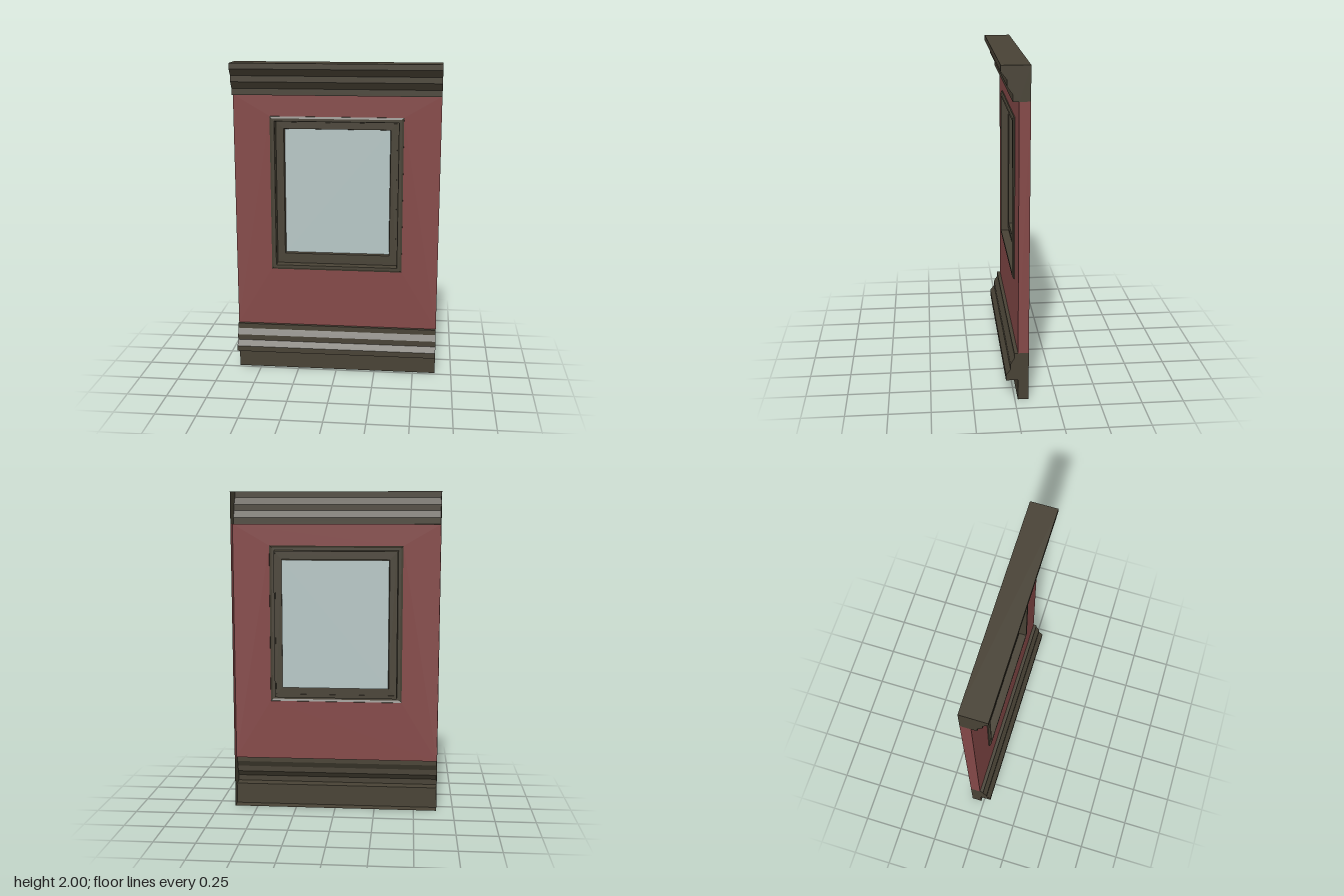
import * as THREE from 'three';

const HALF_W = 0.645, BACK = -0.082, WALL_Z = -0.018;
const BASE_TOP = 0.305, CROWN_BOTTOM = 1.802;

const flat = (name, color) =>
  new THREE.MeshStandardMaterial({ name, color, side: THREE.DoubleSide });

// Flat-shaded geometry from a list of quads, corners counter-clockwise
function quads(list) {
  const pos = [];
  for (const [a, b, c, d] of list) pos.push(...a, ...b, ...c, ...a, ...c, ...d);
  const g = new THREE.BufferGeometry();
  g.setAttribute('position', new THREE.Float32BufferAttribute(pos, 3));
  g.computeVertexNormals();
  return g;
}

// Sweeps a [z, y] profile across the full width
function strip(profile) {
  const list = [];
  for (let i = 0; i + 1 < profile.length; i++) {
    const [z0, y0] = profile[i], [z1, y1] = profile[i + 1];
    list.push([[-HALF_W, y0, z0], [-HALF_W, y1, z1], [HALF_W, y1, z1], [HALF_W, y0, z0]]);
  }
  return quads(list);
}

// Closes a [z, y] profile at one end; side is +1 or -1
function endCap(profile, side) {
  const shape = new THREE.Shape(profile.map(([z, y]) => new THREE.Vector2(-side * z, y)));
  return new THREE.ShapeGeometry(shape).rotateY(side * Math.PI / 2).translate(side * HALF_W, 0, 0);
}

function rectPath(PathClass, x0, y0, x1, y1) {
  return new PathClass([[x0, y0], [x1, y0], [x1, y1], [x0, y1]].map(p => new THREE.Vector2(...p)));
}

// Corners of an upright rectangle centred on x = 0
const ring = ([x, lo, hi, z]) => [[-x, lo, z], [x, lo, z], [x, hi, z], [-x, hi, z]];

// Joins nested rectangles, from the outermost inward, into a mitred frame
function frame(steps) {
  const rings = steps.map(ring), faces = [];
  for (let i = 0; i + 1 < rings.length; i++) {
    for (let k = 0; k < 4; k++) {
      const n = (k + 1) % 4;
      faces.push([rings[i][k], rings[i][n], rings[i + 1][n], rings[i + 1][k]]);
    }
  }
  return quads(faces);
}

export function createModel() {
  const model = new THREE.Group();
  model.name = 'windowWallPanel';
  const trim = flat('darkBrownTrim', 0x484235);
  const red = flat('redWall', 0x844847);
  const pane = flat('paleGlass', 0xb6c6c5);
  const add = (parent, name, geo, mat) => {
    const m = new THREE.Mesh(geo, mat);
    m.name = name;
    parent.add(m);
  };

  // Open-backed mouldings with end caps
  const mouldings = {
    crownMoulding: [
      [BACK, 2], [0.082, 2], [0.082, 1.965], [0.048, 1.922], [0.048, 1.885],
      [0.017, 1.842], [0.017, CROWN_BOTTOM], [WALL_Z, CROWN_BOTTOM],
    ],
    baseMoulding: [
      [WALL_Z, BASE_TOP], [0.004, BASE_TOP], [0.004, 0.272], [0.026, 0.235], [0.026, 0.2],
      [0.053, 0.165], [0.053, 0.13], [WALL_Z, 0.13], [WALL_Z, 0], [BACK, 0],
    ],
  };
  for (const [name, profile] of Object.entries(mouldings)) {
    const group = new THREE.Group();
    group.name = name;
    model.add(group);
    add(group, name + 'Face', strip(profile), trim);
    const outline = name === 'crownMoulding'
      ? [...profile, [BACK, CROWN_BOTTOM]] : [...profile, [BACK, BASE_TOP]];
    for (const s of [-1, 1]) add(group, name + 'End', endCap(outline, s), trim);
  }

  // Wall sheet with the window opening, and its two side returns
  const win = { x: 0.417, y0: 0.682, y1: 1.669 };
  const wall = rectPath(THREE.Shape, -HALF_W, BASE_TOP, HALF_W, CROWN_BOTTOM);
  wall.holes.push(rectPath(THREE.Path, -win.x, win.y0, win.x, win.y1));
  add(model, 'wall', new THREE.ShapeGeometry(wall).translate(0, 0, WALL_Z), red);
  const side = [[BACK, BASE_TOP], [WALL_Z, BASE_TOP], [WALL_Z, CROWN_BOTTOM], [BACK, CROWN_BOTTOM]];
  for (const s of [-1, 1]) add(model, 'wallSide', endCap(side, s), red);

  // Window: raised rim, deep reveal with a sill gap, sash, recessed glass
  const glass = [0.332, 0.782, 1.583, -0.075];
  add(model, 'windowCasing', frame([
    [win.x, win.y0, win.y1, WALL_Z],
    [win.x, win.y0, win.y1, -0.012],
    [0.405, 0.694, 1.657, -0.005],
    [0.388, 0.711, 1.64, -0.005],
    [0.385, 0.714, 1.637, -0.014],
    [0.385, 0.714, 1.637, -0.055],
    [0.376, 0.736, 1.628, -0.055],
  ]), trim);
  add(model, 'windowSash', frame([
    [0.376, 0.736, 1.628, -0.055],
    [0.376, 0.736, 1.628, -0.052],
    [0.336, 0.778, 1.587, -0.052],
    glass,
  ]), trim);
  add(model, 'windowGlass', quads([ring(glass)]), pane);

  return model;
}
